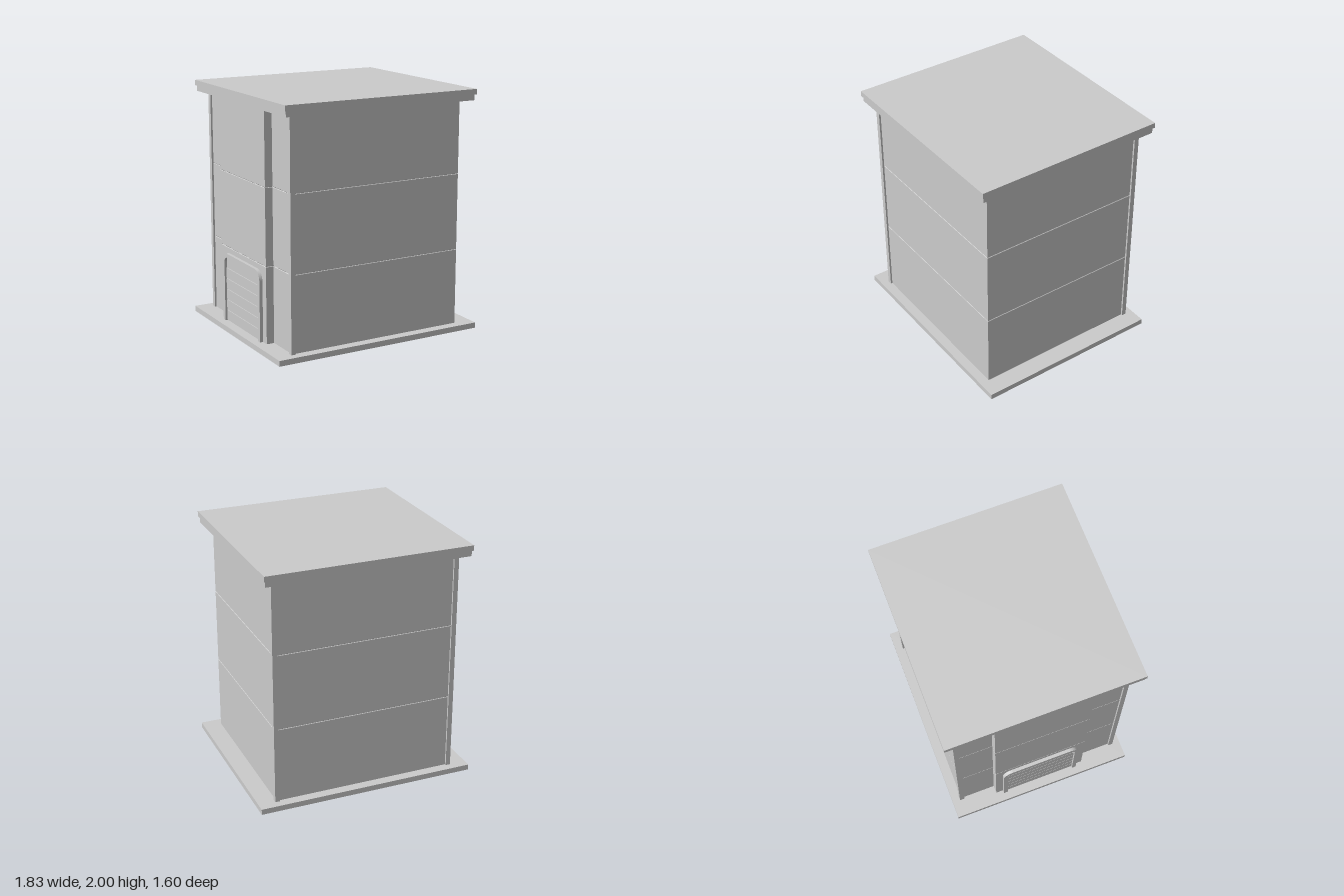
import * as THREE from 'three';

export function createModel() {
  const model = new THREE.Group();
  const grey = new THREE.MeshStandardMaterial({ color: 0xcccccc, flatShading: true });

  function add(name, geometry, parent = model) {
    const mesh = new THREE.Mesh(geometry, grey);
    mesh.name = name;
    parent.add(mesh);
    return mesh;
  }

  // Box given by its limits on each axis
  function box(name, [x0, x1], [y0, y1], [z0, z1], parent) {
    const mesh = add(name, new THREE.BoxGeometry(x1 - x0, y1 - y0, z1 - z0), parent);
    mesh.position.set((x0 + x1) / 2, (y0 + y1) / 2, (z0 + z1) / 2);
    return mesh;
  }

  // Base tray, open underneath: a thin plate with a rim turned down all round
  const base = new THREE.Group();
  base.name = 'base';
  model.add(base);
  const bx = 0.914, bz = 0.784, floor = 0.046, rim = 0.003;
  box('basePlate', [-bx, bx], [floor - rim, floor], [-bz, bz], base);
  for (const s of [-1, 1]) {
    const sideRim = box('baseRim', [-rim / 2, rim / 2], [0, floor - rim], [-bz, bz], base);
    sideRim.position.x = s * (bx - rim / 2);
    const endRim = box('baseRim', [-bx + rim, bx - rim], [0, floor - rim], [-rim / 2, rim / 2], base);
    endRim.position.z = s * (bz - rim / 2);
  }

  // Stepped flat roof
  box('roofLowerSlab', [-0.845, 0.845], [1.909, 1.956], [-0.789, 0.789]);
  box('roofUpperSlab', [-0.856, 0.856], [1.956, 2], [-0.802, 0.802]);

  // Plan outline of the walls, with a shallow bay on the left side,
  // moved inward by the given distance
  const outline = (d) => [
    [-0.761 + d, 0.704 - d], [0.761 - d, 0.704 - d], [0.761 - d, -0.704 + d], [-0.761 + d, -0.704 + d],
    [-0.761 + d, -0.4 + d], [-0.826 + d, -0.4 + d], [-0.826 + d, 0.4 - d], [-0.761 + d, 0.4 - d],
  ].map(([x, z]) => new THREE.Vector2(x, -z));
  const plan = new THREE.Shape(outline(0));
  plan.holes.push(new THREE.Path(outline(0.028)));

  // Thin wall storeys, chamfered where they meet so the seams read as V grooves;
  // walls and posts pass a little way through the base plate
  const chamfer = 0.004, foot = 0.023;
  const walls = new THREE.Group();
  walls.name = 'walls';
  model.add(walls);
  const seams = [foot, 0.678, 1.309, 1.92];
  for (let i = 0; i < 3; i++) {
    const geometry = new THREE.ExtrudeGeometry(plan, {
      depth: seams[i + 1] - seams[i] - 2 * chamfer,
      bevelEnabled: true, bevelSegments: 1,
      bevelSize: chamfer, bevelThickness: chamfer, bevelOffset: -chamfer,
    });
    geometry.rotateX(-Math.PI / 2);
    add('wallStorey', geometry, walls).position.y = seams[i] + chamfer;
  }

  // Slim posts on three corners
  for (const [sx, sz] of [[-1, 1], [-1, -1], [1, -1]]) {
    const post = box('cornerPost', [-0.02, 0.02], [foot, 1.915], [-0.02, 0.02]);
    post.position.x = sx * 0.756;
    post.position.z = sz * 0.699;
  }

  // Slatted shutter on the bay, inside a round-cornered frame
  const shutter = new THREE.Group();
  shutter.name = 'shutter';
  model.add(shutter);
  const w = 0.337, t = 0.035, top = 0.632, r = 0.085;

  // Frame drawn as an open arch, legs reaching the base
  const frame = new THREE.Shape();
  frame.moveTo(-w + t, floor);
  frame.lineTo(-w + t, top - r);
  frame.absarc(-w + r, top - r, r - t, Math.PI, Math.PI / 2, true);
  frame.absarc(w - r, top - r, r - t, Math.PI / 2, 0, true);
  frame.lineTo(w - t, floor);
  frame.lineTo(w, floor);
  frame.lineTo(w, top - r);
  frame.absarc(w - r, top - r, r, 0, Math.PI / 2, false);
  frame.absarc(-w + r, top - r, r, Math.PI / 2, Math.PI, false);
  frame.lineTo(-w, floor);
  frame.closePath();
  const frameGeometry = new THREE.ExtrudeGeometry(frame, {
    depth: 0.033, bevelEnabled: false, curveSegments: 8,
  });
  add('shutterFrame', frameGeometry.rotateY(-Math.PI / 2), shutter).position.x = -0.82;

  // Slats, the top one shortened to clear the rounded corners
  const pitch = 0.091;
  for (let i = 0; i < 6; i++) {
    const y = floor + i * pitch;
    const inset = i === 5 ? 0.05 : t;
    box('shutterSlat', [-0.836, -0.822], [y + 0.003, y + pitch - 0.003], [-w + inset, w - inset], shutter);
  }

  return model;
}
